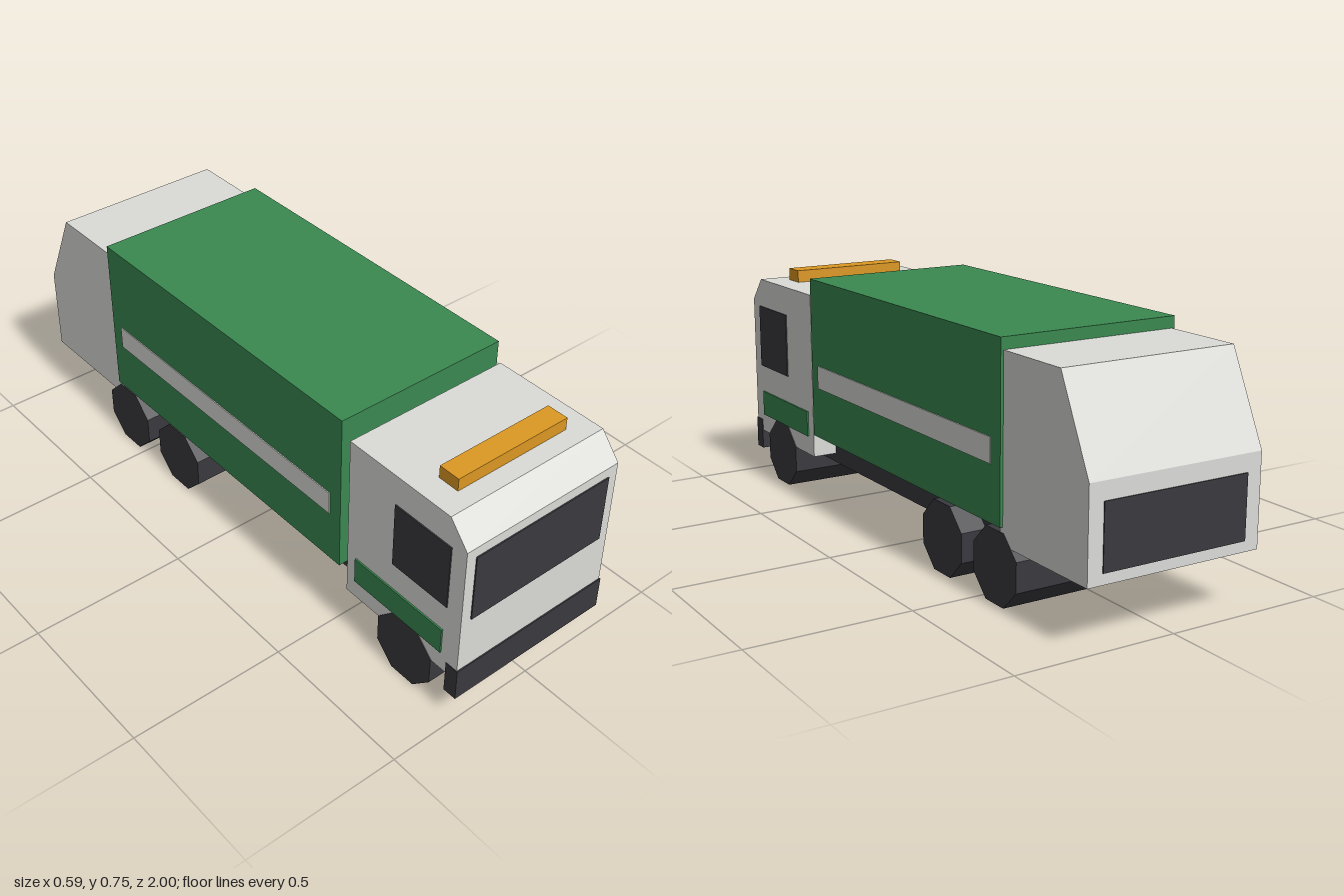
import * as THREE from 'three';

const material = (name, color) => {
  const m = new THREE.MeshStandardMaterial({ color });
  m.name = name;
  return m;
};

export function createModel() {
  const truck = new THREE.Group();
  truck.name = 'refuseTruck';
  const white = material('paleGrey', 0xdbdbd8);
  const green = material('green', 0x3a8850);
  const dark = material('charcoal', 0x3a393f);
  const amber = material('amber', 0xdc9823);

  const add = (name, geometry, mat) => {
    const mesh = new THREE.Mesh(geometry, mat);
    mesh.name = name;
    truck.add(mesh);
    return mesh;
  };

  // Box given by its limits on each axis
  const box = (name, mat, [x0, x1], [y0, y1], [z0, z1]) =>
    add(name, new THREE.BoxGeometry(x1 - x0, y1 - y0, z1 - z0), mat)
      .position.set((x0 + x1) / 2, (y0 + y1) / 2, (z0 + z1) / 2);

  // Side outline of [z, y] points, extruded across the width
  const sideProfile = (name, mat, halfWidth, points) => {
    const shape = new THREE.Shape(points.map(([z, y]) => new THREE.Vector2(-z, y)));
    const geometry = new THREE.ExtrudeGeometry(shape, { depth: halfWidth * 2, bevelEnabled: false });
    geometry.translate(0, 0, -halfWidth).rotateY(Math.PI / 2);
    add(name, geometry, mat);
  };

  // Chassis and bumper
  box('chassis', dark, [-0.2, 0.2], [0.12, 0.235], [-0.62, 0.94]);
  box('bumper', dark, [-0.283, 0.283], [0.085, 0.19], [0.955, 1]);

  // Cab with sloped brow
  sideProfile('cab', white, 0.281, [
    [0.996, 0.15], [0.996, 0.62], [0.93, 0.697], [0.543, 0.697], [0.543, 0.15],
  ]);
  box('windscreen', dark, [-0.247, 0.247], [0.367, 0.588], [0.993, 1]);
  box('beaconBar', amber, [-0.2, 0.2], [0.695, 0.737], [0.8, 0.87]);

  // Container and rear hopper
  box('container', green, [-0.291, 0.291], [0.232, 0.755], [-0.612, 0.52]);
  sideProfile('hopper', white, 0.282, [
    [-0.6, 0.18], [-0.6, 0.72], [-0.87, 0.72], [-0.997, 0.455], [-0.997, 0.18],
  ]);
  box('hopperPanel', dark, [-0.235, 0.235], [0.212, 0.402], [-1, -0.994]);

  // Thin side details, mirrored
  for (const [side, s] of [['left', 1], ['right', -1]]) {
    const plate = (a, b) => [s * a, s * b].sort((p, q) => p - q);
    box(side + 'Window', dark, plate(0.278, 0.285), [0.39, 0.602], [0.73, 0.943]);
    box(side + 'CabStripe', green, plate(0.278, 0.286), [0.213, 0.298], [0.58, 0.933]);
    box(side + 'ContainerStripe', white, plate(0.287, 0.294), [0.4, 0.475], [-0.565, 0.475]);
  }

  // Eight-sided wheels spanning the full width, resting on a flat
  const radius = 0.1165;
  for (const [name, z] of [['frontWheels', 0.79], ['middleWheels', -0.293], ['rearWheels', -0.573]]) {
    const geometry = new THREE.CylinderGeometry(radius, radius, 0.566, 8, 1, false, Math.PI / 8)
      .rotateZ(Math.PI / 2).toNonIndexed();
    geometry.computeVertexNormals();
    add(name, geometry, dark).position.set(0, radius * Math.cos(Math.PI / 8), z);
  }

  return truck;
}
